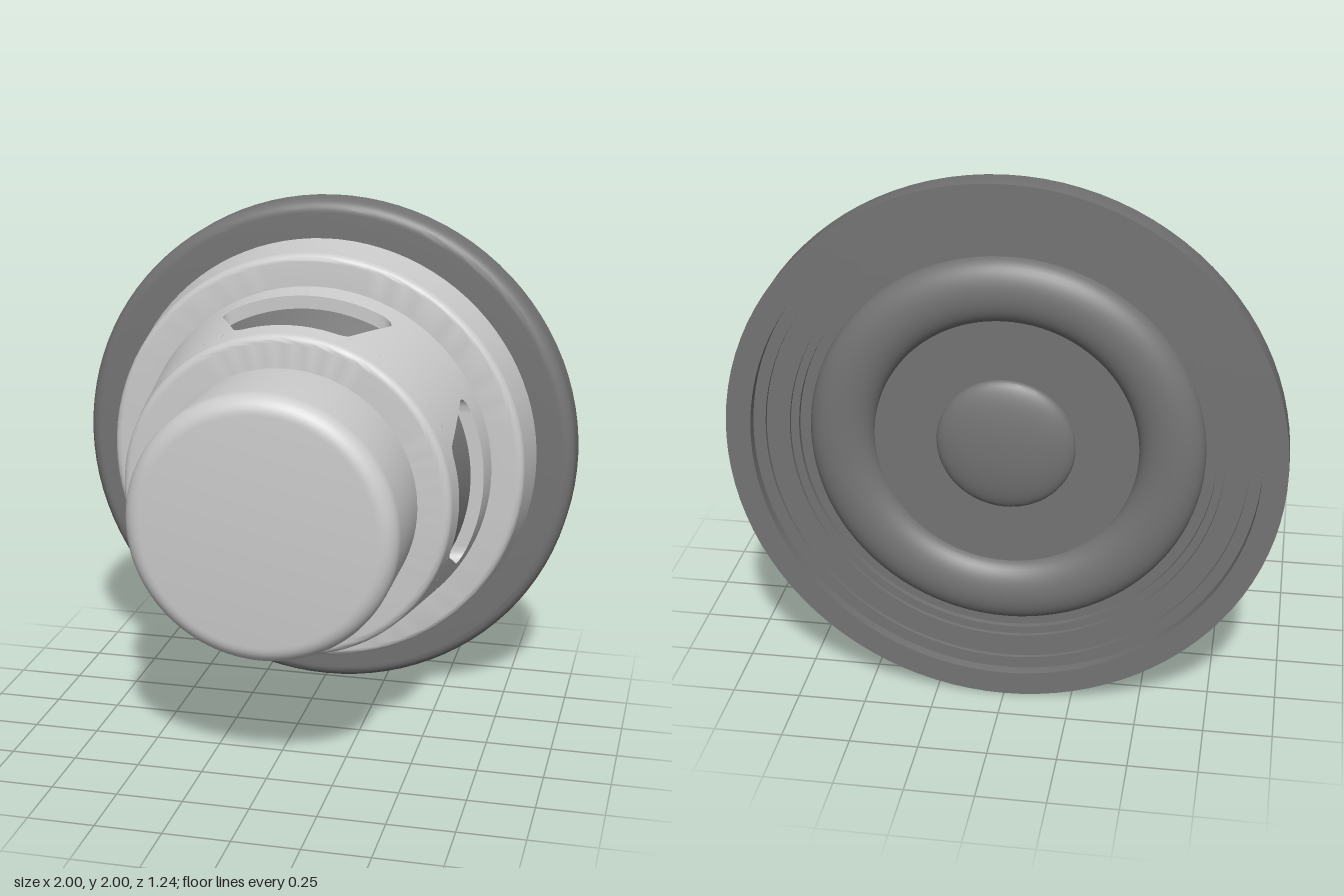
import * as THREE from 'three';
import { toCreasedNormals } from 'three/addons/utils/BufferGeometryUtils.js';

const SEGMENTS = 96;
const grey = new THREE.MeshStandardMaterial({ color: 0xcccccc });
const dark = new THREE.MeshStandardMaterial({ color: 0x747474 });

// Turned part around the z axis; profile points are [radius, z]
function turned(name, profile, material) {
  const points = profile.map(([r, z]) => new THREE.Vector2(r, z));
  const geometry = new THREE.LatheGeometry(points, SEGMENTS).rotateX(Math.PI / 2);
  const mesh = new THREE.Mesh(toCreasedNormals(geometry, 0.6), material);
  mesh.name = name;
  return mesh;
}

// Points of an elliptical arc in (radius, z)
function arc(r, z, a, b, from, to, steps = 8) {
  return Array.from({ length: steps + 1 }, (_, i) => {
    const t = from + (to - from) * i / steps;
    return [r + a * Math.cos(t), z + b * Math.sin(t)];
  });
}

// Tapered basket wall
const WALL = 0.05, WINDOW_BACK = -0.18, WINDOW_FRONT = 0.12;
const basketRadius = (z) => 0.70 - 0.155 * (z + 0.28);

// Half width of a basket window along z: a trapezoid with rounded corners
const windowEdge = [
  [-0.18, 0.27], [-0.178, 0.29], [-0.172, 0.307], [-0.16, 0.32], [-0.145, 0.326],
  [-0.13, 0.324], [-0.115, 0.317], [-0.05, 0.287], [0.02, 0.255], [0.085, 0.225],
  [0.1, 0.217], [0.11, 0.207], [0.117, 0.193], [0.12, 0.175],
];

// Wall segment between two neighbouring windows, lofted along z
function ribGeometry() {
  const n = 16, ring = 2 * (n + 1), positions = [], index = [];
  for (const [z, halfWidth] of windowEdge) {
    const outer = basketRadius(z);
    for (let k = 0; k < ring; k++) {
      const onOuter = k <= n;
      const r = onOuter ? outer : outer - WALL;
      const t = (onOuter ? k : ring - 1 - k) / n;
      const start = Math.asin(halfWidth / r);
      const angle = start + (Math.PI / 2 - 2 * start) * t;
      positions.push(r * Math.cos(angle), r * Math.sin(angle), z);
    }
  }
  for (let j = 0; j < windowEdge.length - 1; j++) {
    for (let k = 0; k < ring; k++) {
      const a = j * ring + k, b = j * ring + (k + 1) % ring;
      index.push(a, b, b + ring, a, b + ring, a + ring);
    }
  }
  const geometry = new THREE.BufferGeometry();
  geometry.setAttribute('position', new THREE.Float32BufferAttribute(positions, 3));
  geometry.setIndex(index);
  return toCreasedNormals(geometry, 0.6);
}

export function createModel() {
  const model = new THREE.Group();
  model.name = 'loudspeaker';
  const HALF = Math.PI / 2;

  // Mounting rim with a stepped inner recess
  model.add(turned('mountingRim', [
    [0.70, -0.53], [0.75, -0.53], [0.75, -0.55], [0.78, -0.55], [0.78, -0.565],
    [0.865, -0.565], [0.865, -0.58], [0.91, -0.58], [0.91, -0.62], [1, -0.62],
    ...arc(0.95, -0.53, 0.05, 0.05, 0, HALF), [0.70, -0.48], [0.70, -0.53],
  ], dark));

  // Half-roll surround, flat diaphragm and dust dome
  model.add(turned('surround', arc(0.592, -0.53, 0.118, 0.075, Math.PI, 2 * Math.PI, 20), dark));
  model.add(turned('diaphragm', [[0.2, -0.54], [0.49, -0.54]], dark));
  model.add(turned('dustDome', arc(0, -0.54, 0.25, 0.06, -HALF, 0, 14), dark));

  // Rear of the cone, seen through the windows
  model.add(turned('coneBack', [[0.70, -0.48], [0.58, -0.28], [0.30, 0.2]], dark));

  // Stepped shoulder behind the rim
  model.add(turned('basketShoulder', [
    [0.85, -0.48], [0.825, -0.31], ...arc(0.795, -0.31, 0.03, 0.03, 0.15, HALF, 6),
    [0.65, -0.28], [0.65, -0.32], [0.76, -0.32], [0.80, -0.48],
  ], grey));

  // Basket: back ring, four ribs, front ring with its plate
  const basket = new THREE.Group();
  basket.name = 'basket';
  const rBack = basketRadius(WINDOW_BACK), rFront = basketRadius(WINDOW_FRONT);
  basket.add(turned('basketBackRing', [
    [0.70, -0.28], [rBack, WINDOW_BACK], [rBack - WALL, WINDOW_BACK], [0.65, -0.3],
  ], grey));
  basket.add(turned('basketFrontRing', [
    [0.3, 0.18], [rFront - WALL, 0.18], [rFront - WALL, WINDOW_FRONT], [rFront, WINDOW_FRONT],
    ...arc(0.592, 0.19, 0.033, 0.03, 0, HALF, 6), [0.3, 0.22],
  ], grey));
  const rib = ribGeometry();
  for (let i = 0; i < 4; i++) {
    const mesh = new THREE.Mesh(rib, grey);
    mesh.name = 'basketRib';
    mesh.rotation.z = i * HALF;
    basket.add(mesh);
  }
  model.add(basket);

  // Magnet housing
  model.add(turned('magnet', [
    [0.5, 0.2], ...arc(0.43, 0.55, 0.07, 0.07, 0, HALF), [0, 0.62],
  ], grey));

  // Open surfaces show from both sides
  dark.side = THREE.DoubleSide;
  for (const part of model.children) part.position.y = 1;
  return model;
}
